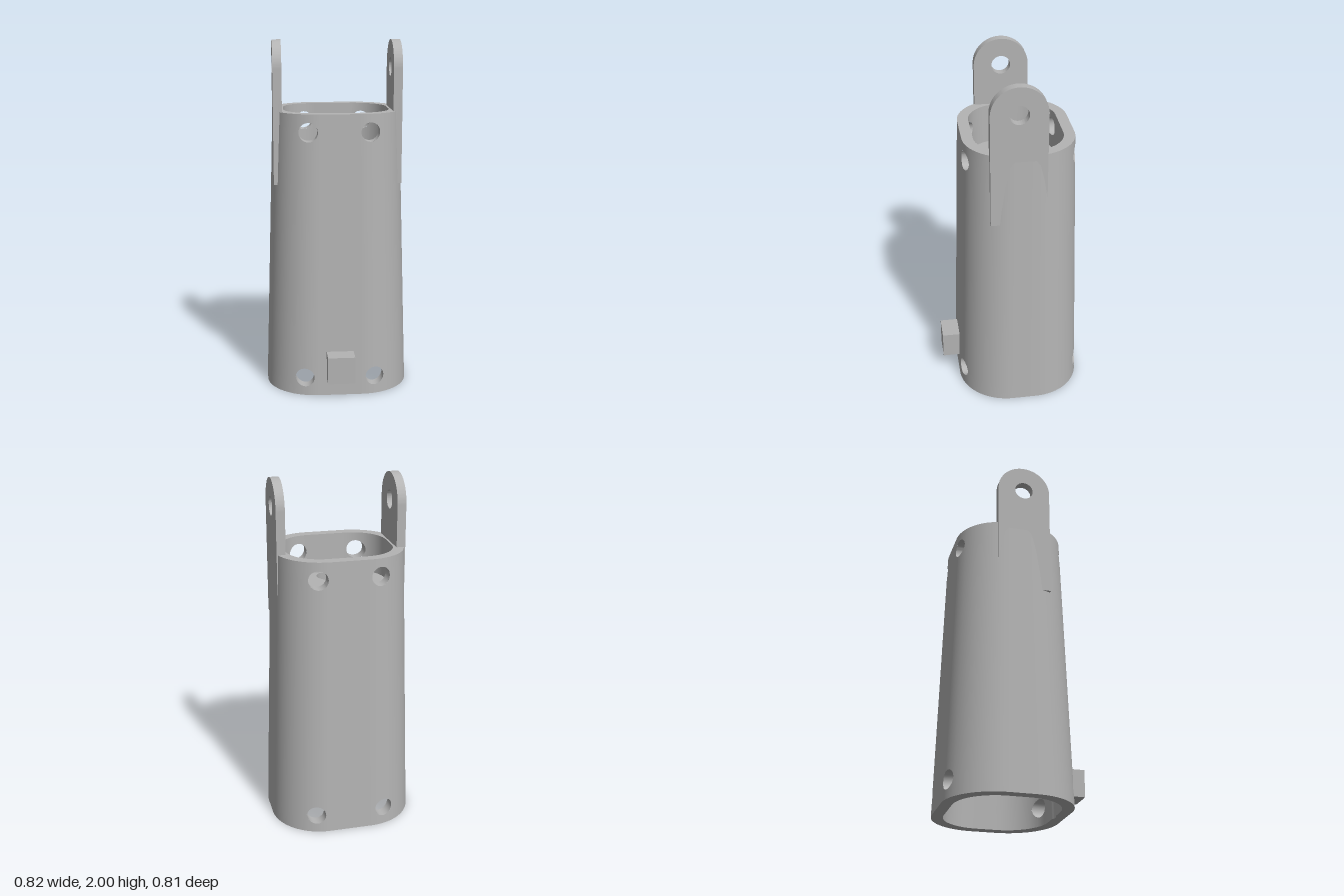
import * as THREE from 'three';
import { toCreasedNormals } from 'three/addons/utils/BufferGeometryUtils.js';

const H = 1.61, CZ = -0.048;              // sleeve height, sleeve centre in z
const UPPER = 1.38, LOWER = 0.24;         // floors of the two end cavities
const HOLE_R = 0.053;
const lowRow = { x: 0.2, y: 0.105 }, highRow = { x: 0.172, y: 1.51 };

// Rounded-rectangle sections: half width, half depth, corner radius
const outer = (y) => {
  const t = y / H, hw = 0.41 - 0.05 * t;
  return { hw, hd: 0.358 - 0.048 * t, r: 0.7 * hw };
};
const upperInner = () => ({ hw: 0.3, hd: 0.248, r: 0.19 });
const lowerInner = () => ({ hw: 0.345, hd: 0.295, r: 0.235, groove: true });

// Through shafts: radius and z at the upper and lower floors
const shafts = [
  { r: 0.077, top: 0.122, bottom: 0.177 },
  { r: 0.038, top: -0.187, bottom: -0.204 },
];

// z of the front (s = 1) or back (s = -1) of a section at x
function zAt(p, x, s) {
  const a = Math.max(0, Math.abs(x) - (p.hw - p.r));
  let z = CZ + s * (p.hd - p.r + Math.sqrt(Math.max(0, p.r * p.r - a * a)));
  const g = 0.079;                        // groove left by the large shaft
  if (p.groove && s > 0 && Math.abs(x) < g) z = Math.max(z, 0.178 + Math.sqrt(g * g - x * x));
  return z;
}

// Column positions across a section, as fractions of its half width
function columns(section, rows) {
  const p = section(0), f = [];
  for (let i = 0; i <= 18; i++) f.push(1 - (p.r / p.hw) * (1 - Math.sin((i / 18) * Math.PI / 2)));
  for (let i = 0; i < 12; i++) f.push((i / 12) * (1 - p.r / p.hw));
  for (const row of rows)
    for (let i = 0; i <= 16; i++) f.push((row.x + HOLE_R * Math.cos((i / 16) * Math.PI)) / section(row.y).hw);
  const half = [...new Set(f.map((v) => +v.toFixed(5)))].sort((a, b) => a - b);
  return [...half.slice(1).reverse().map((v) => -v), ...half];
}

// Collects quads into a geometry
function quads() {
  const pos = [];
  return {
    add(a, b, c, d, flip) {
      const q = flip ? [a, d, c, b] : [a, b, c, d];
      for (const i of [0, 1, 2, 0, 2, 3]) pos.push(...q[i]);
    },
    build() {
      const g = new THREE.BufferGeometry();
      g.setAttribute('position', new THREE.Float32BufferAttribute(pos, 3));
      return toCreasedNormals(g, 0.6);
    },
  };
}

// Tapered wall pierced by rows of round holes
function wall(section, y0, y1, rows, inward) {
  const q = quads(), cols = columns(section, rows);
  for (const s of [1, -1]) {
    const pt = (f, y) => {
      const p = section(y);
      return [f * p.hw, y, zAt(p, f * p.hw, s)];
    };
    const cuts = (f) => {
      const ys = [y0];
      for (const row of rows) {
        const d = Math.abs(f) * section(row.y).hw - row.x;
        const h = Math.sqrt(Math.max(0, HOLE_R * HOLE_R - d * d));
        ys.push(row.y - h, row.y + h);
      }
      return [...ys, y1];
    };
    for (let i = 0; i < cols.length - 1; i++) {
      const [fa, fb] = [cols[i], cols[i + 1]], ca = cuts(fa), cb = cuts(fb);
      for (let k = 0; k < ca.length; k += 2)
        q.add(pt(fa, ca[k]), pt(fb, cb[k]), pt(fb, cb[k + 1]), pt(fa, ca[k + 1]), (s < 0) !== inward);
    }
    // flat side strip
    const side = (y, e) => {
      const p = section(y);
      return [s * p.hw, y, CZ + e * (p.hd - p.r)];
    };
    q.add(side(y0, 1), side(y0, -1), side(y1, -1), side(y1, 1), (s < 0) !== inward);
  }
  return q.build();
}

// Closed outline of a section as [x, z] points
function outline(section, y, rows) {
  const p = section(y), xs = columns(section, rows).map((f) => f * p.hw);
  return [...xs.map((x) => [x, zAt(p, x, 1)]), ...xs.reverse().map((x) => [x, zAt(p, x, -1)])];
}

function circle(r, z) {
  return Array.from({ length: 48 }, (_, i) => {
    const a = (i / 48) * Math.PI * 2;
    return [r * Math.cos(a), z + r * Math.sin(a)];
  });
}

// Flat horizontal face with openings
function cap(edge, openings, y, up) {
  const k = up ? -1 : 1, vec = (pts) => pts.map(([x, z]) => new THREE.Vector2(x, k * z));
  const shape = new THREE.Shape(vec(edge));
  shape.holes = openings.map((o) => new THREE.Path(vec(o)));
  return new THREE.ShapeGeometry(shape).rotateX(k * Math.PI / 2).translate(0, y, 0);
}

// Lining of one bolt hole, from outer wall to inner wall
function boltHole(row, sx, s, inner) {
  const q = quads(), n = 32;
  const pt = (i, section) => {
    const a = (i / n) * Math.PI * 2;
    const x = sx * row.x + HOLE_R * Math.cos(a), y = row.y + HOLE_R * Math.sin(a);
    return [x, y, zAt(section(y), x, s)];
  };
  for (let i = 0; i < n; i++)
    q.add(pt(i, outer), pt(i, inner), pt(i + 1, inner), pt(i + 1, outer), s > 0);
  return q.build();
}

// Lining of a slanted shaft between the two floors
function shaftLining({ r, top, bottom }) {
  const q = quads(), a = circle(r, top), b = circle(r, bottom);
  const up = (i) => [a[i % 48][0], UPPER, a[i % 48][1]];
  const dn = (i) => [b[i % 48][0], LOWER, b[i % 48][1]];
  for (let i = 0; i < 48; i++) q.add(up(i), dn(i), dn(i + 1), up(i + 1));
  return q.build();
}

// Round-topped hinge lug with a pin hole
function lugGeometry() {
  const r = 0.154, cy = 2 - r, s = new THREE.Shape();
  s.moveTo(-r, 1.2);
  s.lineTo(r, 1.2);
  s.lineTo(r, cy);
  s.absarc(0, cy, r, 0, Math.PI, false);
  s.closePath();
  s.holes.push(new THREE.Path().absarc(0, cy, HOLE_R, 0, Math.PI * 2, true));
  const g = new THREE.ExtrudeGeometry(s, { depth: 0.05, bevelEnabled: false, curveSegments: 32 });
  return toCreasedNormals(g.rotateY(Math.PI / 2).translate(-0.025, 0, 0), 0.6);
}

export function createModel() {
  const model = new THREE.Group();
  const grey = new THREE.MeshStandardMaterial({ color: 0xb4b4b4 });
  grey.name = 'grey';
  const add = (name, geometry) => {
    const mesh = new THREE.Mesh(geometry, grey);
    mesh.name = name;
    model.add(mesh);
    return mesh;
  };

  // sleeve shell and end cavities
  const both = [lowRow, highRow];
  add('outerWall', wall(outer, 0, H, both, false));
  add('upperCavityWall', wall(upperInner, UPPER, H, [highRow], true));
  add('lowerCavityWall', wall(lowerInner, 0, LOWER, [lowRow], true));
  const upperEdge = outline(upperInner, H, [highRow]), lowerEdge = outline(lowerInner, 0, [lowRow]);
  add('topRim', cap(outline(outer, H, both), [upperEdge], H, true));
  add('bottomRim', cap(outline(outer, 0, both), [lowerEdge], 0, false));
  add('upperFloor', cap(upperEdge, shafts.map((h) => circle(h.r, h.top)), UPPER, true));
  add('lowerFloor', cap(lowerEdge, shafts.map((h) => circle(h.r, h.bottom)), LOWER, false));

  // holes
  for (const h of shafts) add('shaft', shaftLining(h));
  for (const s of [1, -1])
    for (const sx of [1, -1]) {
      add('lowerBoltHole', boltHole(lowRow, sx, s, lowerInner));
      add('upperBoltHole', boltHole(highRow, sx, s, upperInner));
    }

  // hinge lugs and front peg
  for (const sx of [1, -1]) add(sx > 0 ? 'leftLug' : 'rightLug', lugGeometry()).position.set(sx * 0.336, 0, -0.014);
  add('frontPeg', new THREE.BoxGeometry(0.154, 0.155, 0.125)).position.set(0, 0.182, 0.3425);
  return model;
}
